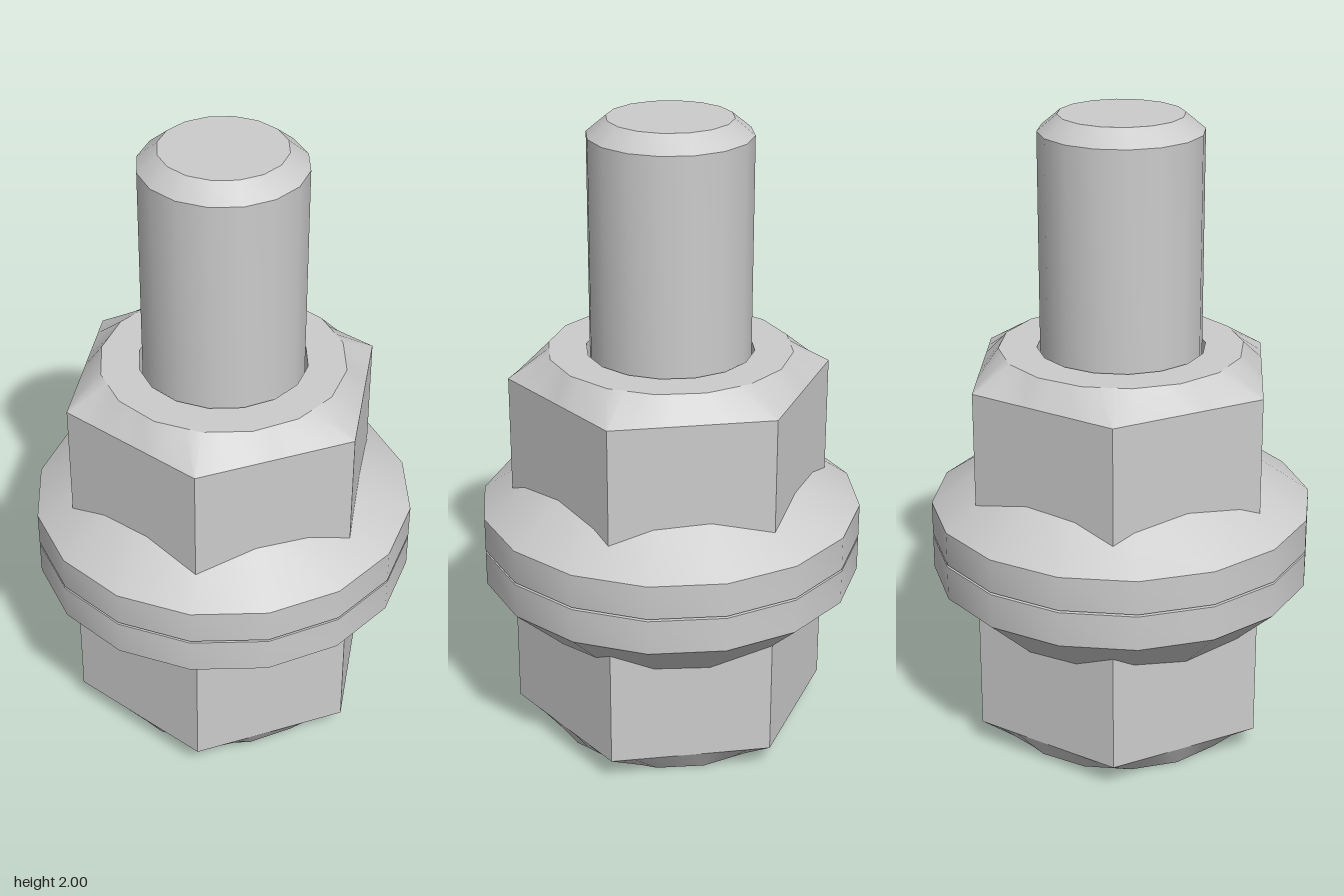
import * as THREE from 'three';
import { toCreasedNormals } from 'three/addons/utils/BufferGeometryUtils.js';

const material = new THREE.MeshStandardMaterial({ color: 0xcccccc });
const ROUND = 16, HEX = 6;
const STEPS = 48; // hits every corner of both the 16-gon and the hexagon

function addMesh(parent, geometry, name) {
  const mesh = new THREE.Mesh(toCreasedNormals(geometry, 0.5), material);
  mesh.name = name;
  parent.add(mesh);
}

// Turned part from [radius, y] pairs, listed bottom to top on the outside
function turned(profile) {
  return new THREE.LatheGeometry(profile.map(([r, y]) => new THREE.Vector2(r, y)), ROUND);
}

// Radius of a regular polygon at an angle, with a corner at angle 0
function polygonRadius(sides, r, angle) {
  const sector = (2 * Math.PI) / sides;
  const local = angle - sector * Math.floor(angle / sector + 1e-6);
  return (r * Math.cos(sector / 2)) / Math.cos(local - sector / 2);
}

// Skin through polygon rings given as [sides, cornerRadius, y]
function loft(rings) {
  const points = [], index = [];
  rings.forEach(([sides, r, y], i) => {
    for (let j = 0; j < STEPS; j++) {
      const angle = (j / STEPS) * 2 * Math.PI;
      const d = polygonRadius(sides, r, angle);
      points.push(d * Math.sin(angle), y, d * Math.cos(angle));
      if (i === 0) continue;
      const next = (j + 1) % STEPS, low = (i - 1) * STEPS, high = i * STEPS;
      if (rings[i - 1][1] > 0) index.push(low + j, low + next, high + j);
      if (r > 0) index.push(low + next, high + next, high + j);
    }
  });
  const geometry = new THREE.BufferGeometry();
  geometry.setAttribute('position', new THREE.Float32BufferAttribute(points, 3));
  geometry.setIndex(index);
  return geometry;
}

export function createModel() {
  const model = new THREE.Group();
  model.name = 'flangedBoltAndNut';

  // Bolt: chamfered hex head, conical flange, shank with chamfered tip
  const bolt = new THREE.Group();
  bolt.name = 'bolt';
  addMesh(bolt, loft([
    [ROUND, 0, 0], [ROUND, 0.385, 0], [HEX, 0.5, 0.08], [HEX, 0.5, 0.5],
  ]), 'boltHead');
  addMesh(bolt, turned([
    [0.4, 0.357], [0.6, 0.545], [0.6, 0.655], [0.25, 0.655],
    [0.25, 1.95], [0.19, 2], [0, 2],
  ]), 'boltFlangeAndShank');

  // Nut: conical flange and chamfered hex body with a clear bore
  const nut = new THREE.Group();
  nut.name = 'nut';
  addMesh(nut, turned([
    [0.26, 0.662], [0.6, 0.662], [0.6, 0.77], [0.4, 0.911],
  ]), 'nutFlange');
  addMesh(nut, loft([
    [HEX, 0.5, 0.8], [HEX, 0.5, 1.205], [ROUND, 0.378, 1.28],
    [ROUND, 0.26, 1.28], [ROUND, 0.26, 0.662],
  ]), 'nutBody');

  model.add(bolt, nut);
  return model;
}
